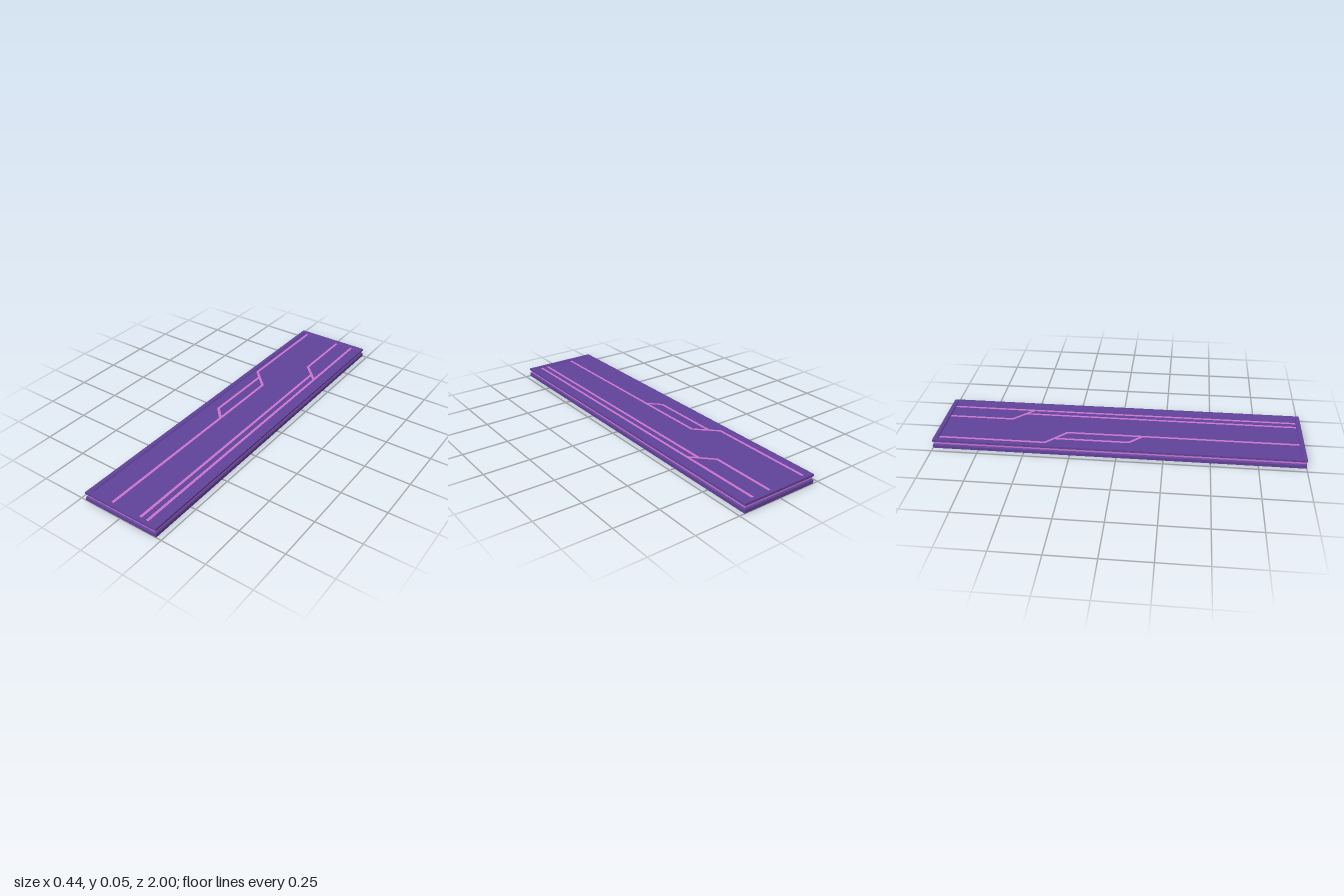
import * as THREE from 'three';

const purple = new THREE.MeshStandardMaterial({ color: 0x61429a });
const pink = new THREE.MeshStandardMaterial({ color: 0xcb74d0 });
const HALF_X = 0.22, HALF_Z = 1;
const PANEL_Y = 0.044, PANEL_INSET = 0.026;

// Rectangular rings [inset, y] skinned from one to the next, with optional end caps
function rings(levels, capStart, capEnd) {
  const corners = levels.map(([inset, y]) =>
    [[1, 1], [1, -1], [-1, -1], [-1, 1]].map(([sx, sz]) =>
      [sx * (HALF_X - inset), y, sz * (HALF_Z - inset)]));
  const pos = [];
  const quad = (a, b, c, d) => pos.push(...a, ...b, ...c, ...a, ...c, ...d);
  for (let k = 0; k + 1 < corners.length; k++) {
    const a = corners[k], b = corners[k + 1];
    for (let i = 0; i < 4; i++) {
      const j = (i + 1) % 4;
      quad(a[i], a[j], b[j], b[i]);
    }
  }
  if (capStart) quad(...[...corners[0]].reverse());
  if (capEnd) quad(...corners[corners.length - 1]);
  const g = new THREE.BufferGeometry();
  g.setAttribute('position', new THREE.Float32BufferAttribute(pos, 3));
  g.computeVertexNormals();
  return g;
}

// Flat mitred ribbon following [x, z] points
function ribbon(points, width) {
  const p = points.map(([x, z]) => new THREE.Vector2(x, -z));
  const left = [], right = [];
  p.forEach((q, i) => {
    const d1 = q.clone().sub(p[Math.max(i - 1, 0)]).normalize();
    const d2 = p[Math.min(i + 1, p.length - 1)].clone().sub(q).normalize();
    const t = d1.clone().add(d2).normalize();
    const n = new THREE.Vector2(-t.y, t.x);
    const dir = i ? d1 : d2;
    n.multiplyScalar(width / 2 / (dir.x * t.x + dir.y * t.y));
    left.push(q.clone().add(n));
    right.unshift(q.clone().sub(n));
  });
  return new THREE.ShapeGeometry(new THREE.Shape([...left, ...right])).rotateX(-Math.PI / 2);
}

export function createModel() {
  const group = new THREE.Group();
  const add = (name, geometry, material) => {
    const mesh = new THREE.Mesh(geometry, material);
    mesh.name = name;
    group.add(mesh);
    return mesh;
  };

  // Base slab with chamfered upper edge
  add('base', rings([[0, 0], [0, 0.018], [0.006, 0.025]], true, false), purple);
  // Glowing band around the recessed waist
  add('edgeBand', rings([[0.006, 0.025], [0.006, 0.036]], false, false), pink);
  // Overhanging rim, then down its inner wall to the sunken panel
  add('rimAndPanel', rings([
    [0.006, 0.036], [0.004, 0.037], [0, 0.039], [0, 0.05],
    [0.022, 0.05], [PANEL_INSET, PANEL_Y],
  ], false, true), purple);

  // Circuit lines inlaid on the panel
  const end = HALF_Z - PANEL_INSET;
  const traces = [
    [[-0.175, -end], [-0.175, -0.39], [-0.067, -0.283], [-0.067, end]],
    [[-0.132, -0.347], [-0.132, 0.06], [-0.067, 0.13]],
    [[0.148, -end], [0.148, end]],
    [[0.044, -end], [0.044, -0.615], [0.148, -0.508]],
    [[0.107, -0.55], [0.107, end]],
  ];
  traces.forEach((points, i) => {
    add(`circuitLine${i + 1}`, ribbon(points, 0.015), pink).position.y = PANEL_Y + 0.001;
  });
  return group;
}
